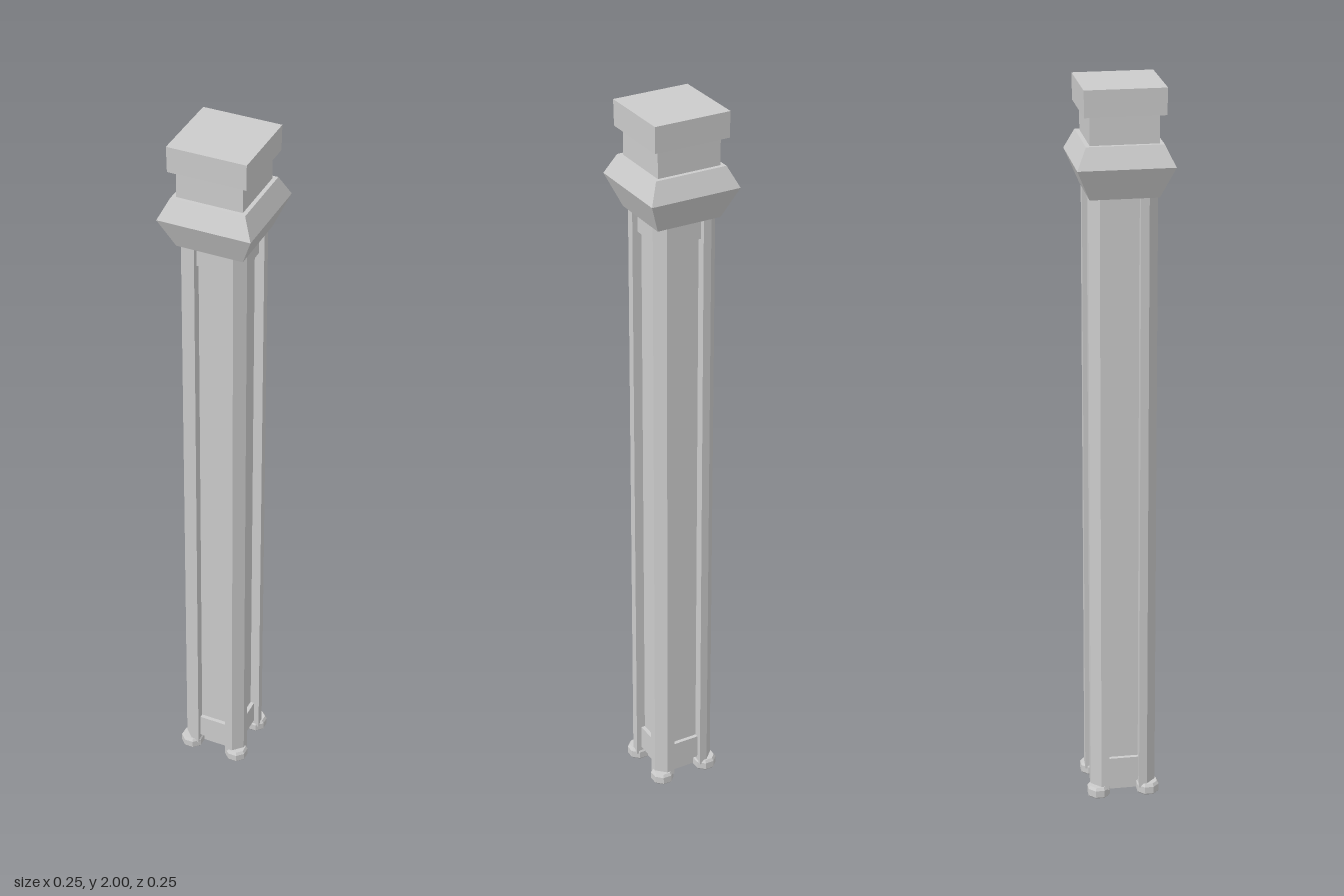
import * as THREE from 'three';

const material = new THREE.MeshStandardMaterial({ color: 0xcccccc, flatShading: true });

function add(parent, name, geometry, x = 0, y = 0, z = 0) {
  const mesh = new THREE.Mesh(geometry, material);
  mesh.name = name;
  mesh.position.set(x, y, z);
  parent.add(mesh);
  return mesh;
}

// Square block tapering from one half width to another
function taper(parent, name, y0, half0, y1, half1) {
  const geometry = new THREE.CylinderGeometry(half1 * Math.SQRT2, half0 * Math.SQRT2, y1 - y0, 4);
  geometry.rotateY(Math.PI / 4);
  return add(parent, name, geometry, 0, (y0 + y1) / 2, 0);
}

export function createModel() {
  const column = new THREE.Group();
  column.name = 'column';

  // Shaft core and its plinth
  taper(column, 'plinth', 0.005, 0.056, 0.04, 0.056);
  taper(column, 'core', 0.04, 0.064, 1.74, 0.064);

  // Capital, from the flare up to the top slab
  taper(column, 'flareLower', 1.715, 0.09, 1.8, 0.126);
  taper(column, 'flareUpper', 1.8, 0.126, 1.855, 0.1);
  taper(column, 'neck', 1.855, 0.089, 1.93, 0.089);
  taper(column, 'topSlab', 1.93, 0.105, 2, 0.106);

  // Corner post: square section with the outer corner cut off
  const section = new THREE.Shape([
    [0.042, 0.042], [0.09, 0.042], [0.09, 0.064], [0.064, 0.09], [0.042, 0.09],
  ].map(([x, y]) => new THREE.Vector2(x, y)));
  const postGeometry = new THREE.ExtrudeGeometry(section, { depth: 1.71, bevelEnabled: false });
  postGeometry.rotateX(-Math.PI / 2);

  // Eight-sided foot with a bevelled top
  const apothem = Math.cos(Math.PI / 8);
  const footGeometry = new THREE.LatheGeometry(
    [[0, 0], [0.027, 0], [0.03, 0.004], [0.03, 0.024], [0.025, 0.032], [0, 0.032]]
      .map(([r, y]) => new THREE.Vector2(r / apothem, y)), 8, Math.PI / 8);

  // Each quarter turn carries a post, a foot and a panel face
  for (let i = 0; i < 4; i++) {
    const side = new THREE.Group();
    side.name = `side${i + 1}`;
    side.rotation.y = i * Math.PI / 2;
    add(side, 'cornerPost', postGeometry, 0, 0.02, 0);
    add(side, 'foot', footGeometry, 0.069, 0, -0.069);

    // Rails closing the recessed panel at its top and bottom
    add(side, 'lowerRail', new THREE.BoxGeometry(0.086, 0.07, 0.02), 0, 0.075, 0.065);
    add(side, 'upperRail', new THREE.BoxGeometry(0.086, 0.07, 0.02), 0, 1.695, 0.065);
    column.add(side);
  }
  return column;
}
